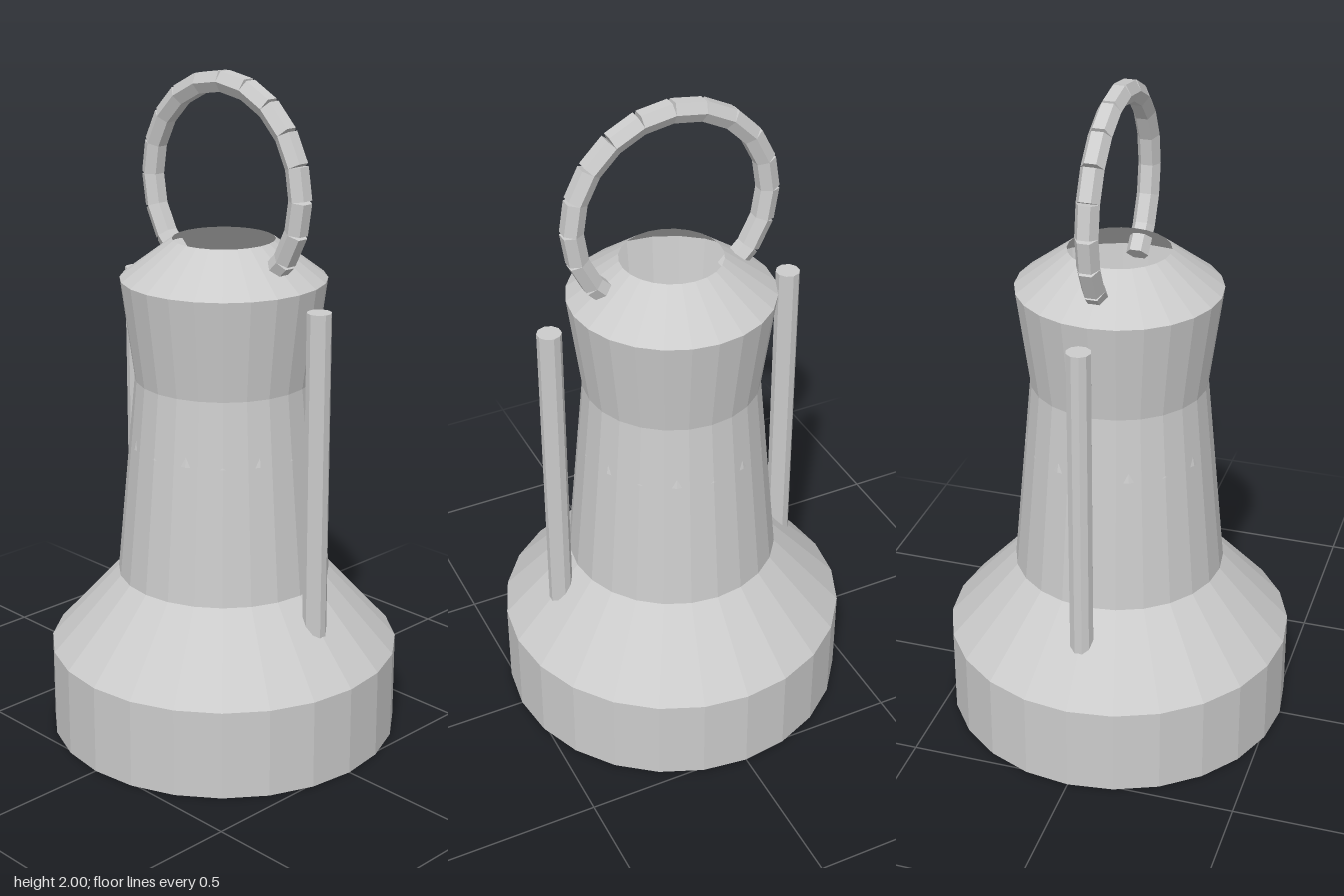
import * as THREE from 'three';

const material = new THREE.MeshStandardMaterial({
  color: 0xcccccc, flatShading: true, side: THREE.DoubleSide,
});

export function createModel() {
  const model = new THREE.Group();
  model.name = 'lantern';

  const add = (name, geometry, parent = model) => {
    const mesh = new THREE.Mesh(geometry, material);
    mesh.name = name;
    parent.add(mesh);
    return mesh;
  };

  // Body shells, each a 24-sided frustum from y0 to y1
  const frustum = (name, r0, y0, r1, y1) => {
    const mesh = add(name, new THREE.CylinderGeometry(r1, r0, y1 - y0, 24, 1, true));
    mesh.position.y = (y0 + y1) / 2;
  };
  frustum('baseWall', 0.528, 0, 0.528, 0.27);
  frustum('baseShoulder', 0.528, 0.27, 0.32, 0.5);
  frustum('glass', 0.32, 0.5, 0.263, 1.105);
  frustum('collar', 0.263, 1.105, 0.303, 1.405);
  frustum('cap', 0.303, 1.405, 0.15, 1.52);

  // Closed underside
  const floor = add('baseFloor', new THREE.CircleGeometry(0.528, 24));
  floor.rotation.x = Math.PI / 2;

  // Inner dome, seen through the open cap
  const dome = add('innerDome',
    new THREE.SphereGeometry(0.282, 16, 4, 0, Math.PI * 2, 0, Math.PI / 2));
  dome.position.y = 0.91;

  // Side rods rising from the shoulder
  for (const side of [-1, 1]) {
    const rod = add(side > 0 ? 'leftRod' : 'rightRod',
      new THREE.CylinderGeometry(0.036, 0.036, 1.07, 10));
    rod.position.set(side * 0.378, 0.835, 0);
  }

  // Ring handle: straight hexagonal links along an arc, ends sunk in the cap
  const handle = new THREE.Group();
  handle.name = 'handle';
  handle.position.y = 1.67;
  model.add(handle);
  const R = 0.3, step = Math.PI / 10;
  const link = new THREE.CylinderGeometry(0.034, 0.034, 2 * R * Math.sin(step / 2), 6);
  for (let i = 0; i < 16; i++) {
    const a = Math.PI / 2 + (i - 7.5) * step;
    const mid = R * Math.cos(step / 2);
    const mesh = add('handleLink', link, handle);
    mesh.position.set(mid * Math.cos(a), mid * Math.sin(a), 0);
    mesh.rotation.z = a;
  }

  return model;
}
